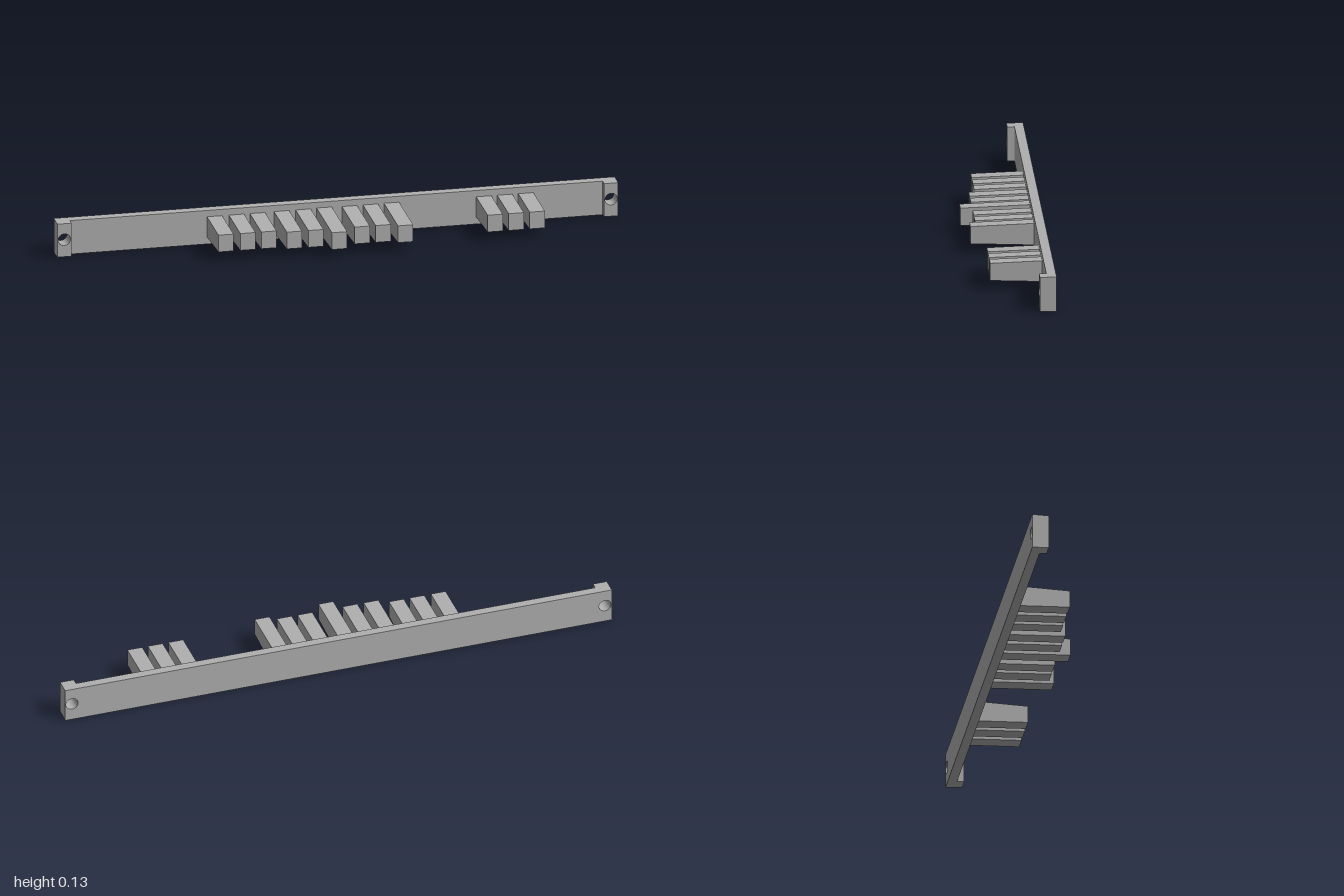
import * as THREE from 'three';

const BACK = -0.138, FACE = -0.105, TAB = -0.08;
const MID = 0.063, DRAFT = 0.036;

// Pinches the height towards +z, like the draft of a moulded part
function draft(geo, midY, halfH, zRef) {
  const g = geo.index ? geo.toNonIndexed() : geo;
  const p = g.attributes.position;
  for (let i = 0; i < p.count; i++) {
    const k = (halfH - DRAFT * (p.getZ(i) - zRef)) / halfH;
    p.setY(i, midY + (p.getY(i) - midY) * k);
  }
  g.computeVertexNormals();
  return g;
}

function box(x0, x1, y0, y1, z0, z1) {
  const g = new THREE.BoxGeometry(x1 - x0, y1 - y0, z1 - z0);
  return g.translate((x0 + x1) / 2, (y0 + y1) / 2, (z0 + z1) / 2);
}

export function createModel() {
  const group = new THREE.Group();
  const grey = new THREE.MeshStandardMaterial({ color: 0xb0b0b0 });
  grey.name = 'plain grey';
  const add = (name, geo) => {
    const mesh = new THREE.Mesh(geo, grey);
    mesh.name = name;
    group.add(mesh);
  };

  // Long thin back rail
  add('rail', draft(box(-0.95, 0.95, 0, 2 * MID, BACK, FACE), MID, MID, BACK));

  // Thicker mounting ends, each with a screw hole right through
  for (const side of [-1, 1]) {
    const shape = new THREE.Shape();
    const x0 = side > 0 ? 0.95 : -1;
    shape.moveTo(x0, 0);
    shape.lineTo(x0 + 0.05, 0);
    shape.lineTo(x0 + 0.05, 2 * MID);
    shape.lineTo(x0, 2 * MID);
    shape.closePath();
    const hole = new THREE.Path();
    hole.absarc(x0 + 0.025, 0.065, 0.022, 0, Math.PI * 2, true);
    shape.holes.push(hole);
    const geo = new THREE.ExtrudeGeometry(shape, {
      depth: TAB - BACK, bevelEnabled: false, curveSegments: 20,
    }).translate(0, 0, BACK);
    add(side > 0 ? 'leftMountingEnd' : 'rightMountingEnd', draft(geo, MID, MID, BACK));
  }

  // Protruding fingers: [centre x, z of the tip]
  const fingers = [
    [-0.434, 0.076], [-0.356, 0.076], [-0.281, 0.076],
    [-0.195, 0.097], [-0.118, 0.097], [-0.043, 0.138],
    [0.047, 0.097], [0.122, 0.097], [0.197, 0.117],
    [0.526, 0.076], [0.601, 0.076], [0.676, 0.076],
  ];
  const w = 0.027, h = 0.031, mid = 0.064;
  fingers.forEach(([x, tip], i) => {
    const geo = box(x - w, x + w, mid - h, mid + h, FACE - 0.003, tip);
    add('finger' + (i + 1), draft(geo, mid, h, tip));
  });

  return group;
}
